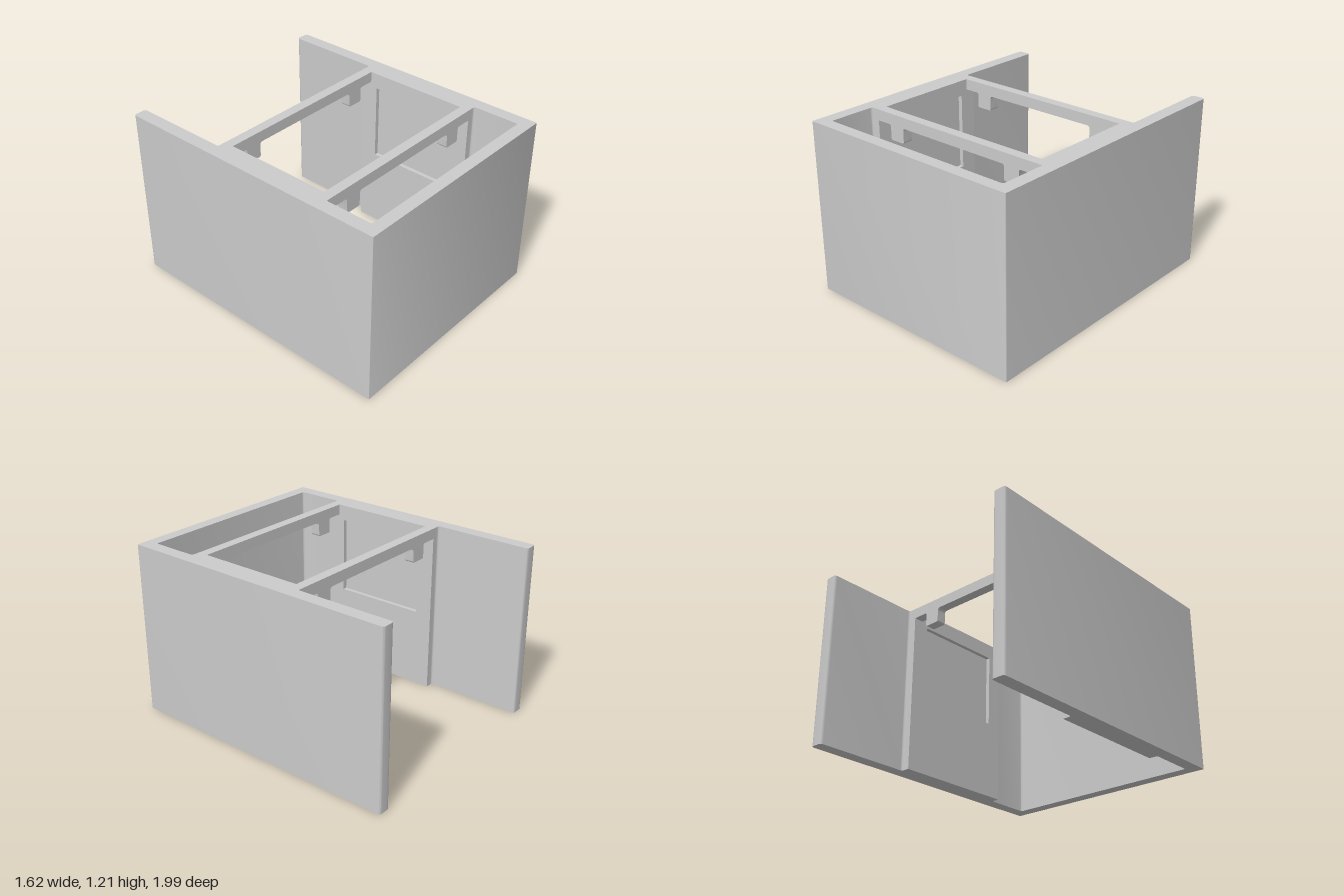
import * as THREE from 'three';
import { toCreasedNormals } from 'three/addons/utils/BufferGeometryUtils.js';

const H = 1.21;                     // wall height
const material = new THREE.MeshStandardMaterial({ color: 0xcccccc });

// Closed outline from [x, y, cornerRadius] points
function outline(points, PathType = THREE.Shape) {
  const path = new PathType();
  const n = points.length;
  points.forEach(([x, y, r = 0], i) => {
    const p = new THREE.Vector2(x, y);
    const toward = (q) => p.clone().add(new THREE.Vector2(q[0], q[1]).sub(p).setLength(r));
    const a = toward(points[(i + n - 1) % n]);
    const b = toward(points[(i + 1) % n]);
    if (i === 0) path.moveTo(a.x, a.y);
    else path.lineTo(a.x, a.y);
    if (r > 0) path.quadraticCurveTo(x, y, b.x, b.y);
  });
  path.closePath();
  return path;
}

const mirrored = (half) => [...half, ...half.map(([x, y, r]) => [-x, y, r]).reverse()];

function extrude(shape, depth) {
  return new THREE.ExtrudeGeometry(shape, { depth, bevelEnabled: false, curveSegments: 4 });
}

function part(name, geometry) {
  const mesh = new THREE.Mesh(toCreasedNormals(geometry, 0.6), material);
  mesh.name = name;
  return mesh;
}

export function createModel() {
  const group = new THREE.Group();
  group.name = 'openBackedEnclosure';

  // U-shaped plan (x, -z): front wall and two side walls, thicker in the middle
  const plan = outline(mirrored([
    [0.812, -0.995, 0.006],
    [0.812, 0.995, 0.02],
    [0.72, 0.995, 0.02],
    [0.72, 0.31, 0.015],
    [0.69, 0.31],
    [0.69, -0.58],
    [0.72, -0.58, 0.015],
    [0.72, -0.91, 0.015],
  ]));
  group.add(part('outerWalls', extrude(plan, H).rotateX(-Math.PI / 2)));

  // Inner lining plates with a shallow rectangular recess
  for (const [name, x] of [['leftLining', 0.66], ['rightLining', -0.69]]) {
    const plate = outline([[-0.58, 0], [0.31, 0], [0.31, H], [-0.58, H]]);
    plate.holes.push(outline([[-0.47, 0.56], [-0.47, 1.1], [0.19, 1.1], [0.19, 0.56]], THREE.Path));
    group.add(part(name, extrude(plate, 0.03).rotateY(Math.PI / 2).translate(x, 0, 0)));
  }

  // Cross beams with a hanging tab near each end
  const low = H - 0.075, tab = H - 0.18;
  const beam = outline(mirrored([
    [0.66, H],
    [0.66, low],
    [0.545, low, 0.015],
    [0.545, tab, 0.012],
    [0.43, tab, 0.012],
    [0.43, low, 0.02],
  ]));
  for (const [name, z] of [['rearBeam', -0.31], ['frontBeam', 0.51]]) {
    group.add(part(name, extrude(beam, 0.07).translate(0, 0, z)));
  }

  return group;
}
